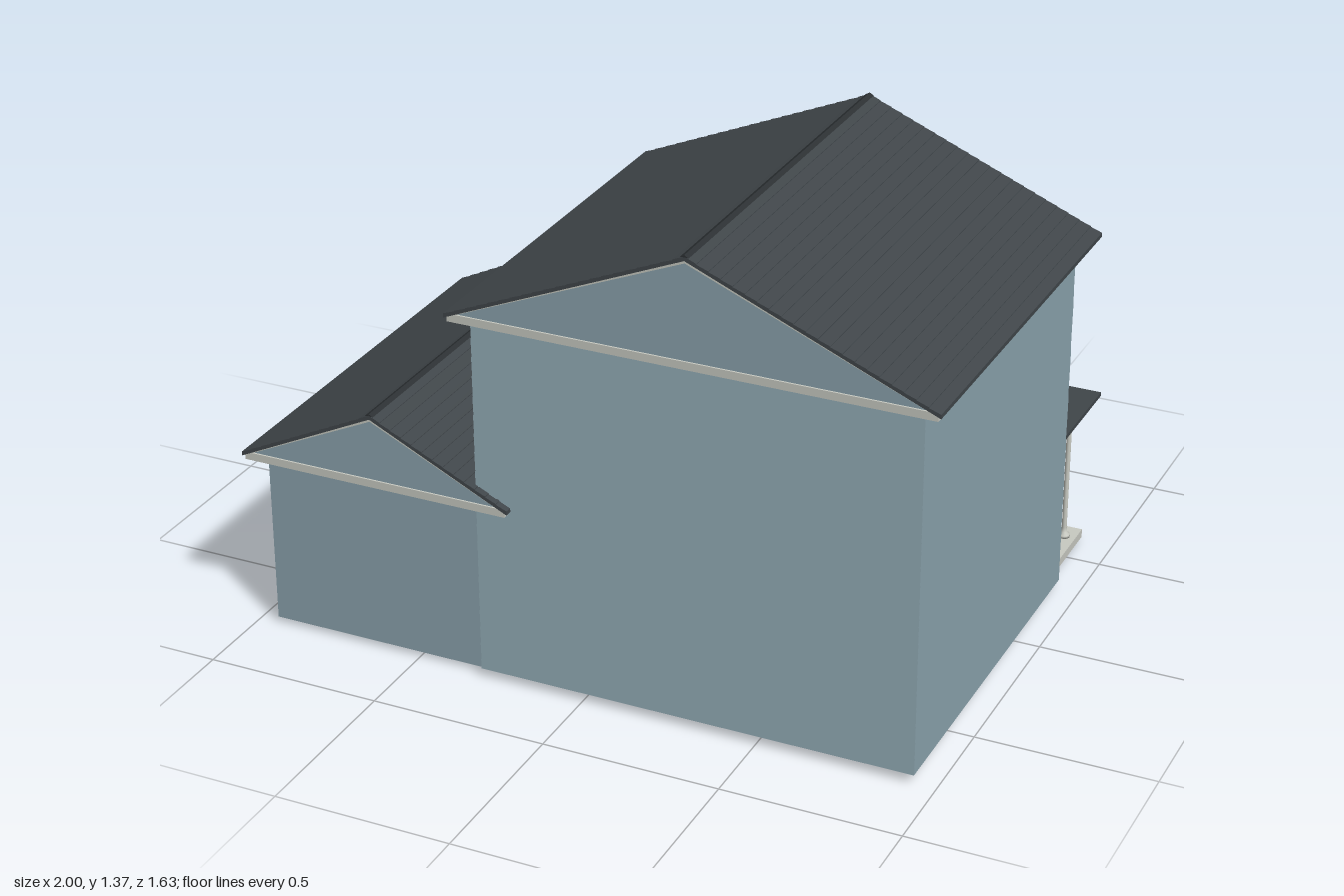
import * as THREE from 'three';

const mat = (name, color, extra = {}) => {
  const m = new THREE.MeshStandardMaterial({ color, ...extra });
  m.name = name;
  return m;
};

export function createModel() {
  const siding = mat('blue siding', 0x8ba3ad);
  const roofing = mat('charcoal shingle', 0x40464a);
  const ridgeMat = mat('dark ridge', 0x2c3033);
  const trim = mat('pale trim', 0xc8cac2);
  const paving = mat('grey paving', 0x767770);
  const tan = mat('tan door', 0xb0a48c);
  const black = mat('black shutter', 0x1d1f20);
  const glass = mat('pale glass', 0x9fb4bc);
  const brass = mat('brass', 0xa08a50);

  const house = new THREE.Group();
  house.name = 'house';

  const add = (parent, name, geo, material) => {
    const m = new THREE.Mesh(geo, material);
    m.name = name;
    parent.add(m);
    return m;
  };
  // box given by its minimum and maximum on each axis
  const box = (parent, name, material, x0, x1, y0, y1, z0, z1) => {
    const m = add(parent, name, new THREE.BoxGeometry(x1 - x0, y1 - y0, z1 - z0), material);
    m.position.set((x0 + x1) / 2, (y0 + y1) / 2, (z0 + z1) / 2);
    return m;
  };
  const extrude = (pts, depth) => new THREE.ExtrudeGeometry(
    new THREE.Shape(pts.map(p => new THREE.Vector2(p[0], p[1]))), { depth, bevelEnabled: false });

  // overlapping boards on a wall that faces +z (dir 1) or -z (dir -1)
  const clapboards = (name, x0, x1, y0, y1, z, dir) => {
    const rows = Math.round((y1 - y0) / 0.024), h = (y1 - y0) / rows;
    const pts = [[0, y0]];
    for (let i = 0; i < rows; i++) pts.push([0.004, y0 + i * h], [0.001, y0 + (i + 1) * h]);
    pts.push([0, y1]);
    const geo = extrude(pts, x1 - x0);
    geo.rotateY(-dir * Math.PI / 2);
    add(house, name, geo, siding).position.set(dir > 0 ? x1 : x0, 0, z);
  };

  // gable roof with stepped shingle rows, gable ends, eave boxes and rake trim
  const gableRoof = (name, cx, half, eaveY, peakY, z0, z1, boxDepth) => {
    const g = new THREE.Group();
    g.name = name;
    house.add(g);
    const slope = (peakY - eaveY) / half, rows = Math.round(half / 0.032), thick = 0.012;
    const side = [];
    for (let i = 0; i < rows; i++) {
      const a = i / rows, b = (i + 1) / rows;
      side.push([-half * (1 - a), eaveY + a * half * slope]);
      side.push([-half * (1 - b), eaveY + b * half * slope - (i < rows - 1 ? 0.002 : 0)]);
    }
    const mirrored = side.slice(0, -1).reverse().map(p => [-p[0], p[1]]);
    const under = [[half, eaveY - thick], [0, peakY - thick], [-half, eaveY - thick]];
    const slab = add(g, 'shingles', extrude([...side, ...mirrored, ...under], z1 - z0), roofing);
    slab.position.set(cx, 0, z0);

    const cap = add(g, 'ridgeCap', extrude([[-0.012, peakY - 0.003], [0, peakY + 0.004],
      [0.012, peakY - 0.003], [0, peakY - 0.002]], z1 - z0), ridgeMat);
    cap.position.set(cx, 0, z0);

    const h = half - 0.008, base = eaveY - 0.004;
    for (const [end, inner, s] of [[z0, z0 + boxDepth, 1], [z1, z1 - boxDepth, -1]]) {
      const face = end + s * 0.008;
      const gable = add(g, 'gableEnd', extrude([[-h, base], [h, base], [0, peakY - 0.006 - thick / 2]],
        Math.abs(inner - face)), siding);
      gable.position.set(cx, 0, Math.min(face, inner));
      const outer = end + s * 0.003;
      box(g, 'gableEave', trim, cx - h, cx + h, eaveY - 0.022, eaveY, Math.min(outer, inner), Math.max(outer, inner));
      for (const k of [-1, 1]) {
        const rake = add(g, 'rakeTrim', extrude([[k * h, base - 0.006], [0, peakY - thick - 0.007],
          [0, peakY - thick], [k * h, base + 0.002]], 0.006), trim);
        rake.position.set(cx, 0, s > 0 ? end + 0.002 : end - 0.008);
      }
    }
  };

  // window facing -z, with bars and louvred shutters
  const windowUnit = (name, cx, y0, y1, z, w = 0.18, sw = 0.042) => {
    const g = new THREE.Group();
    g.name = name;
    house.add(g);
    const x0 = cx - w / 2, x1 = cx + w / 2, f = 0.008, cy = (y0 + y1) / 2;
    box(g, 'pane', glass, x0, x1, y0, y1, z - 0.006, z);
    const bar = (a, b, c, d) => box(g, 'windowBar', trim, a, b, c, d, z - 0.011, z);
    bar(x0, x1, y0, y0 + f);
    bar(x0, x1, y1 - f, y1);
    bar(x0, x0 + f, y0, y1);
    bar(x1 - f, x1, y0, y1);
    bar(x0, x1, cy - 0.003, cy + 0.003);
    bar(cx - 0.003, cx + 0.003, y0, y1);
    for (const s of [-1, 1]) {
      const c = cx + s * (w + sw) / 2;
      box(g, 'shutter', black, c - sw / 2, c + sw / 2, y0 - 0.004, y1 + 0.004, z - 0.012, z);
      for (let i = 0; i < 9; i++) {
        const y = y0 + 0.012 + i * (y1 - y0 - 0.024) / 8;
        box(g, 'louvre', black, c - sw * 0.36, c + sw * 0.36, y - 0.005, y + 0.005, z - 0.015, z - 0.01);
      }
    }
  };

  // main block
  box(house, 'mainWalls', siding, -0.30, 0.94, 0.027, 1.057, -0.32, 0.77);
  clapboards('backBoards', -0.30, 0.94, 0.027, 1.057, 0.77, 1);
  clapboards('porchSideBoards', -0.30, 0.94, 0.027, 1.057, -0.32, -1);
  gableRoof('mainRoof', 0.32, 0.675, 1.08, 1.365, -0.367, 0.813, 0.045);

  // garage
  box(house, 'garageWalls', siding, -0.945, -0.26, 0.015, 0.515, -0.39, 0.75);
  clapboards('garageBoards', -0.945, -0.26, 0.015, 0.515, -0.39, -1);
  gableRoof('garageRoof', -0.60, 0.40, 0.535, 0.728, -0.437, 0.793, 0.045);

  // garage doors with raised panels
  for (const cx of [-0.445, -0.75]) {
    const g = new THREE.Group();
    g.name = 'garageDoor';
    house.add(g);
    box(g, 'doorLeaf', tan, cx - 0.138, cx + 0.138, 0.018, 0.41, -0.398, -0.39);
    for (let r = 0; r < 5; r++) for (let c = 0; c < 4; c++) {
      const px = cx - 0.102 + c * 0.068, py = 0.06 + r * 0.077;
      box(g, 'doorPanel', tan, px - 0.027, px + 0.027, py - 0.028, py + 0.028, -0.402, -0.397);
    }
  }

  // windows
  for (const cx of [0.69, 0.32, -0.05]) windowUnit('upperWindow', cx, 0.715, 0.953, -0.323);
  windowUnit('lowerWindow', -0.05, 0.192, 0.428, -0.323);

  // projecting bay with planter base
  box(house, 'bayBody', glass, 0.575, 0.785, 0.13, 0.345, -0.40, -0.32);
  for (const y of [0.13, 0.236, 0.342]) box(house, 'bayRail', trim, 0.572, 0.788, y - 0.004, y + 0.004, -0.402, -0.32);
  for (const x of [0.575, 0.785]) box(house, 'bayPost', trim, x - 0.004, x + 0.004, 0.13, 0.345, -0.402, -0.394);
  windowUnit('bayWindow', 0.68, 0.134, 0.342, -0.40, 0.19);
  box(house, 'bayBase', trim, 0.55, 0.81, 0.052, 0.105, -0.412, -0.32);
  box(house, 'baySupport', siding, 0.575, 0.785, 0.04, 0.13, -0.39, -0.32);

  // entry door
  box(house, 'doorFrame', trim, 0.245, 0.395, 0.04, 0.385, -0.328, -0.32);
  box(house, 'entryDoor', glass, 0.255, 0.385, 0.04, 0.375, -0.333, -0.32);
  for (const x of [0.29, 0.35]) for (const [a, b] of [[0.07, 0.18], [0.22, 0.34]])
    box(house, 'entryPanel', glass, x - 0.02, x + 0.02, a, b, -0.337, -0.332);
  add(house, 'doorKnob', new THREE.SphereGeometry(0.007, 10, 8), brass).position.set(0.268, 0.2, -0.34);

  // porch
  box(house, 'porchDeck', trim, -0.28, 0.91, 0.015, 0.04, -0.605, -0.32);
  box(house, 'porchRoof', roofing, -0.30, 0.94, 0.469, 0.481, -0.615, -0.32);
  const column = new THREE.LatheGeometry([[0, 0], [0.017, 0], [0.017, 0.008], [0.009, 0.016], [0.007, 0.03],
    [0.007, 0.4], [0.009, 0.41], [0.017, 0.418], [0.017, 0.429], [0, 0.429]]
    .map(p => new THREE.Vector2(p[0], p[1])), 16);
  for (let i = 0; i < 4; i++) add(house, 'porchColumn', column, trim).position.set(0.876 - i * 0.37, 0.04, -0.545);

  // step, path and driveway
  box(house, 'porchStep', trim, 0.21, 0.43, 0.003, 0.02, -0.632, -0.56);
  box(house, 'path', paving, 0.25, 0.385, 0, 0.008, -0.818, -0.57);
  box(house, 'driveway', paving, -0.945, -0.26, 0, 0.008, -0.818, -0.37);

  return house;
}
